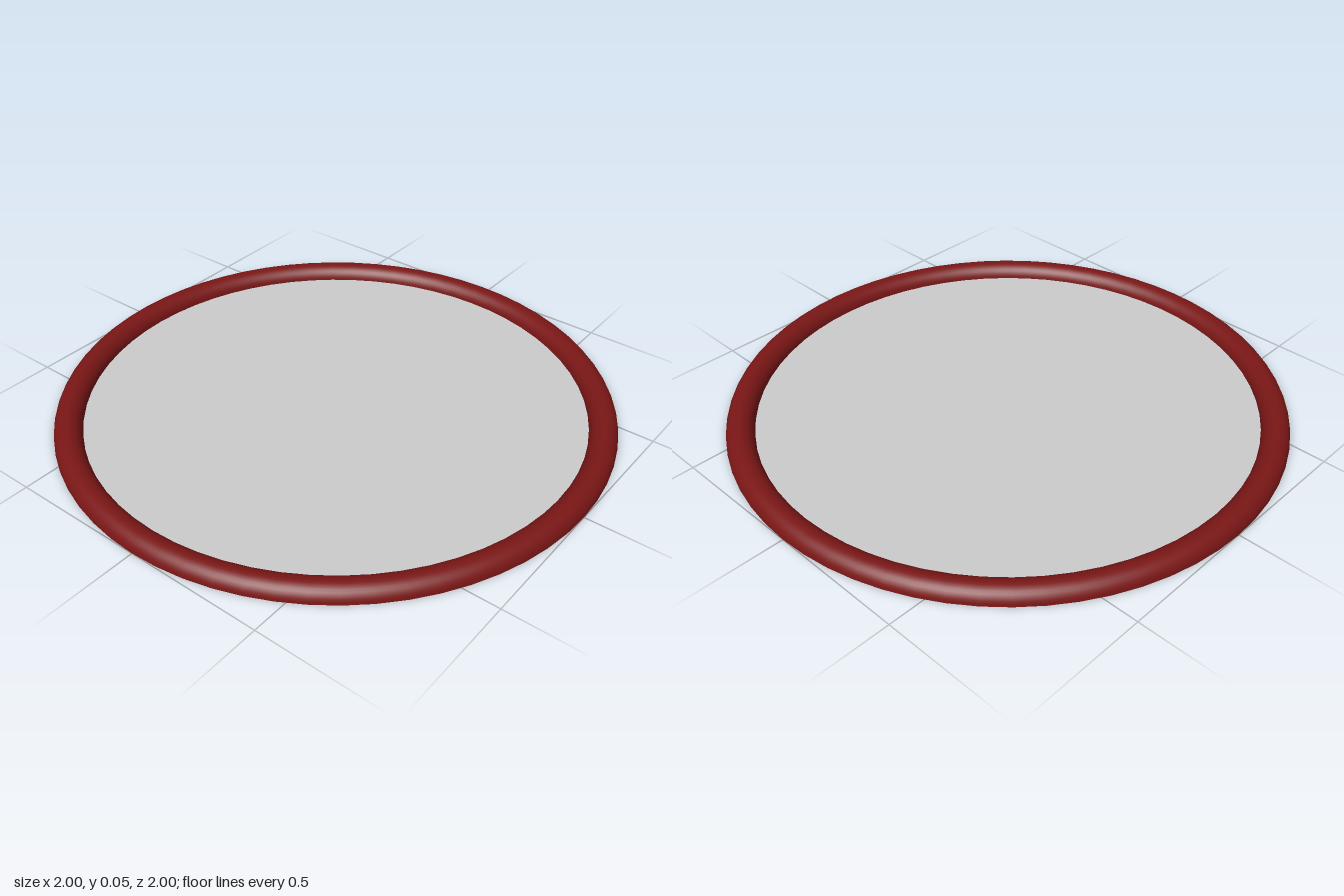
import * as THREE from 'three';

const RING_RADIUS = 0.95;
const TUBE_RADIUS = 0.05;
const SEGMENTS = 64;

export function createModel() {
  const model = new THREE.Group();
  model.name = 'rimmedDisc';

  // Half-round rim, hollow and open underneath
  const profile = [];
  const steps = 16;
  for (let i = 0; i <= steps; i++) {
    const a = (i / steps) * Math.PI;
    profile.push(new THREE.Vector2(
      RING_RADIUS + TUBE_RADIUS * Math.cos(a),
      TUBE_RADIUS * Math.sin(a)
    ));
  }
  const rim = new THREE.Mesh(
    new THREE.LatheGeometry(profile, SEGMENTS),
    new THREE.MeshStandardMaterial({ color: 0x7a1616, side: THREE.DoubleSide })
  );
  rim.name = 'rim';
  model.add(rim);

  // Flat panel filling the rim at ground level
  const panel = new THREE.Mesh(
    new THREE.CircleGeometry(RING_RADIUS - TUBE_RADIUS, SEGMENTS).rotateX(-Math.PI / 2),
    new THREE.MeshStandardMaterial({ color: 0xcccccc, side: THREE.DoubleSide })
  );
  panel.name = 'panel';
  model.add(panel);

  return model;
}
